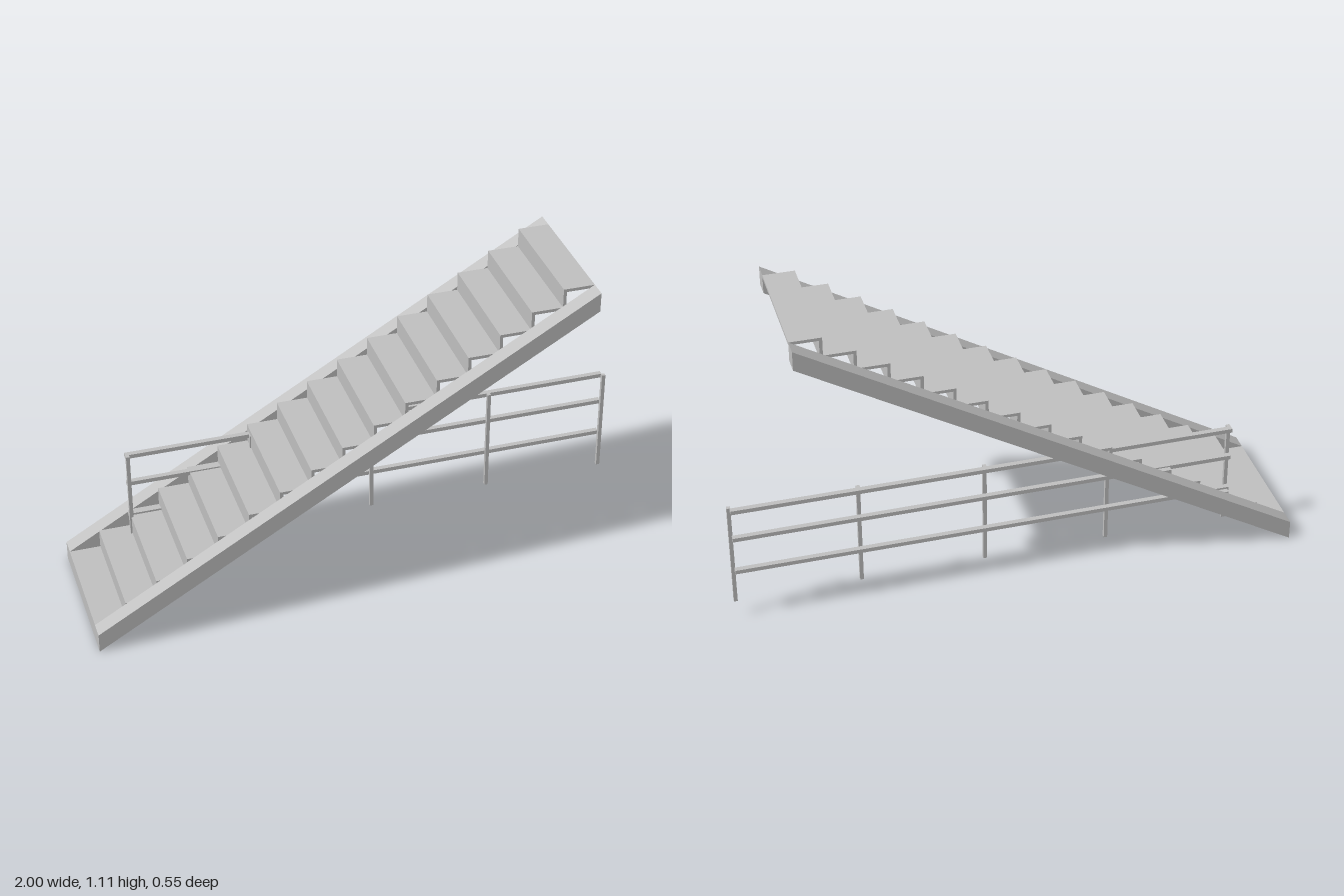
import * as THREE from 'three';

const STEPS = 16, X0 = -1, X1 = 0.765, TOP = 1.105, RISE0 = 0.07;
const RUN = (X1 - X0) / STEPS, RISE = (TOP - RISE0) / (STEPS - 1), T = 0.011;
const INNER = 0.216, OUTER = 0.275;

export function createModel() {
  const steel = new THREE.MeshStandardMaterial({ color: 0xc0c0c0 });
  steel.name = 'light grey steel';
  const model = new THREE.Group();
  model.name = 'staircase';

  // Box given by its minimum and maximum corners
  const box = (name, a, b, parent) => {
    const mesh = new THREE.Mesh(new THREE.BoxGeometry(b[0] - a[0], b[1] - a[1], b[2] - a[2]), steel);
    mesh.position.set((a[0] + b[0]) / 2, (a[1] + b[1]) / 2, (a[2] + b[2]) / 2);
    mesh.name = name;
    parent.add(mesh);
  };
  // Side profile extruded along z
  const extrude = (name, points, z0, z1) => {
    const shape = new THREE.Shape(points.map(([x, y]) => new THREE.Vector2(x, y)));
    const mesh = new THREE.Mesh(new THREE.ExtrudeGeometry(shape, { depth: z1 - z0, bevelEnabled: false }), steel);
    mesh.position.z = z0;
    mesh.name = name;
    model.add(mesh);
  };

  // Sloping side beams with vertical ends
  const beam = [[X0, 0], [X1, TOP - 0.07], [X1, TOP], [X0, 0.07]];
  extrude('leftStringer', beam, INNER, OUTER);
  extrude('rightStringer', beam, -OUTER, -INNER);

  // Folded plate of risers and treads
  const upper = [[X0, 0]], lower = [[X0 + T, 0]];
  for (let i = 0; i < STEPS; i++) {
    const x = X0 + i * RUN, y = RISE0 + i * RISE, last = i === STEPS - 1;
    upper.push([x, y], [x + RUN, y]);
    lower.push([x + T, y - T], [x + RUN + (last ? 0 : T), y - T]);
  }
  extrude('steps', [...upper, ...lower.reverse()], -INNER, INNER);

  // Level railing: five posts with three rails behind them
  const railing = new THREE.Group();
  railing.name = 'railing';
  model.add(railing);
  for (let i = 0; i < 5; i++) {
    const x = -0.785 + i * 0.443;
    box('post', [x, 0.07, -0.179], [x + 0.013, 0.465, -0.166], railing);
  }
  for (const y of [0.2, 0.336, 0.45]) {
    box('rail', [-0.785, y, -0.198], [0.99, y + 0.015, -0.179], railing);
  }
  return model;
}
